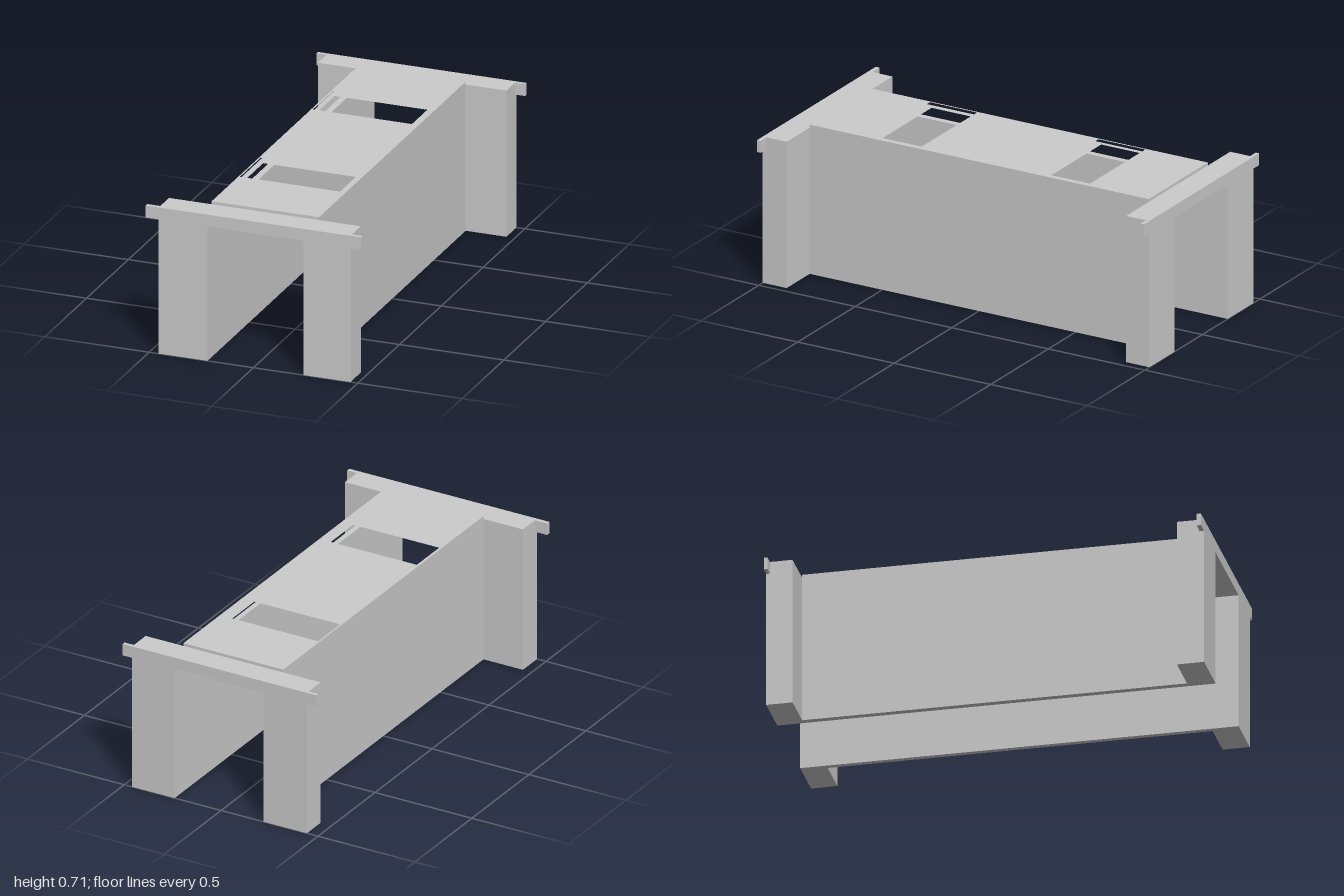
import * as THREE from 'three';

const material = new THREE.MeshStandardMaterial({ color: 0xcccccc, flatShading: true });

// Inner and outer faces of the long channel
const IN_L = -0.22, IN_R = 0.24, OUT_L = -0.25, OUT_R = 0.265;
const CEILING = 0.643, FRAME_TOP = 0.7, ROOF_TOP = 0.714;
const Z_FRONT = 0.876, Z_BACK = -0.88;

function addMesh(parent, name, geometry) {
  const mesh = new THREE.Mesh(geometry, material);
  mesh.name = name;
  parent.add(mesh);
  return mesh;
}

// Box given by its limits on each axis
function boxBetween(x0, x1, y0, y1, z0, z1) {
  return new THREE.BoxGeometry(x1 - x0, y1 - y0, z1 - z0)
    .translate((x0 + x1) / 2, (y0 + y1) / 2, (z0 + z1) / 2);
}

function rectPoints([x0, x1, z0, z1]) {
  return [[x0, -z0], [x1, -z0], [x1, -z1], [x0, -z1]].map(([x, y]) => new THREE.Vector2(x, y));
}

// Horizontal slab with rectangular openings
function slab(outline, openings, y0, y1) {
  const shape = new THREE.Shape(rectPoints(outline));
  for (const o of openings) shape.holes.push(new THREE.Path(rectPoints(o)));
  return new THREE.ExtrudeGeometry(shape, { depth: y1 - y0, bevelEnabled: false })
    .rotateX(-Math.PI / 2).translate(0, y0, 0);
}

// Portal with two legs, a lintel and a thin tab at each upper corner
function endFrame(name, x0, x1, tab0, tab1, z0, z1, tabZ0, tabZ1) {
  const frame = new THREE.Group();
  frame.name = name;
  const portal = new THREE.Shape([
    [x0, 0], [IN_L, 0], [IN_L, CEILING], [IN_R, CEILING],
    [IN_R, 0], [x1, 0], [x1, FRAME_TOP], [x0, FRAME_TOP],
  ].map(([x, y]) => new THREE.Vector2(x, y)));
  addMesh(frame, 'portal', new THREE.ExtrudeGeometry(portal, { depth: z1 - z0, bevelEnabled: false })
    .translate(0, 0, z0));
  addMesh(frame, 'rightTab', boxBetween(tab0, x0, CEILING, FRAME_TOP, tabZ0, tabZ1));
  addMesh(frame, 'leftTab', boxBetween(x1, tab1, CEILING, FRAME_TOP, tabZ0, tabZ1));
  return frame;
}

export function createModel() {
  const model = new THREE.Group();
  model.name = 'channelWithEndFrames';

  // Side walls
  addMesh(model, 'rightWall', boxBetween(OUT_L, IN_L, 0, CEILING, Z_BACK, Z_FRONT));
  addMesh(model, 'leftWall', boxBetween(IN_R, OUT_R, 0, CEILING, Z_BACK, Z_FRONT));

  // Roof: through openings below, wider rebates around them above
  const roof = [OUT_L, OUT_R, Z_BACK, Z_FRONT];
  const openings = [[-0.228, 0.217, -0.54, -0.34], [-0.222, 0.222, 0.328, 0.535]];
  const rebates = [[-0.242, 0.238, -0.56, -0.318], [-0.242, 0.238, 0.312, 0.555]];
  const ledge = ROOF_TOP - 0.016;
  addMesh(model, 'roof', slab(roof, openings, CEILING, ledge));
  addMesh(model, 'roofTop', slab(roof, rebates, ledge, ROOF_TOP));

  // End frames
  model.add(endFrame('frontFrame', -0.454, 0.465, -0.517, 0.515, Z_FRONT, 1, 0.98, 1));
  model.add(endFrame('backFrame', -0.443, 0.46, -0.492, 0.508, -1, Z_BACK, -1, -0.983));

  return model;
}
